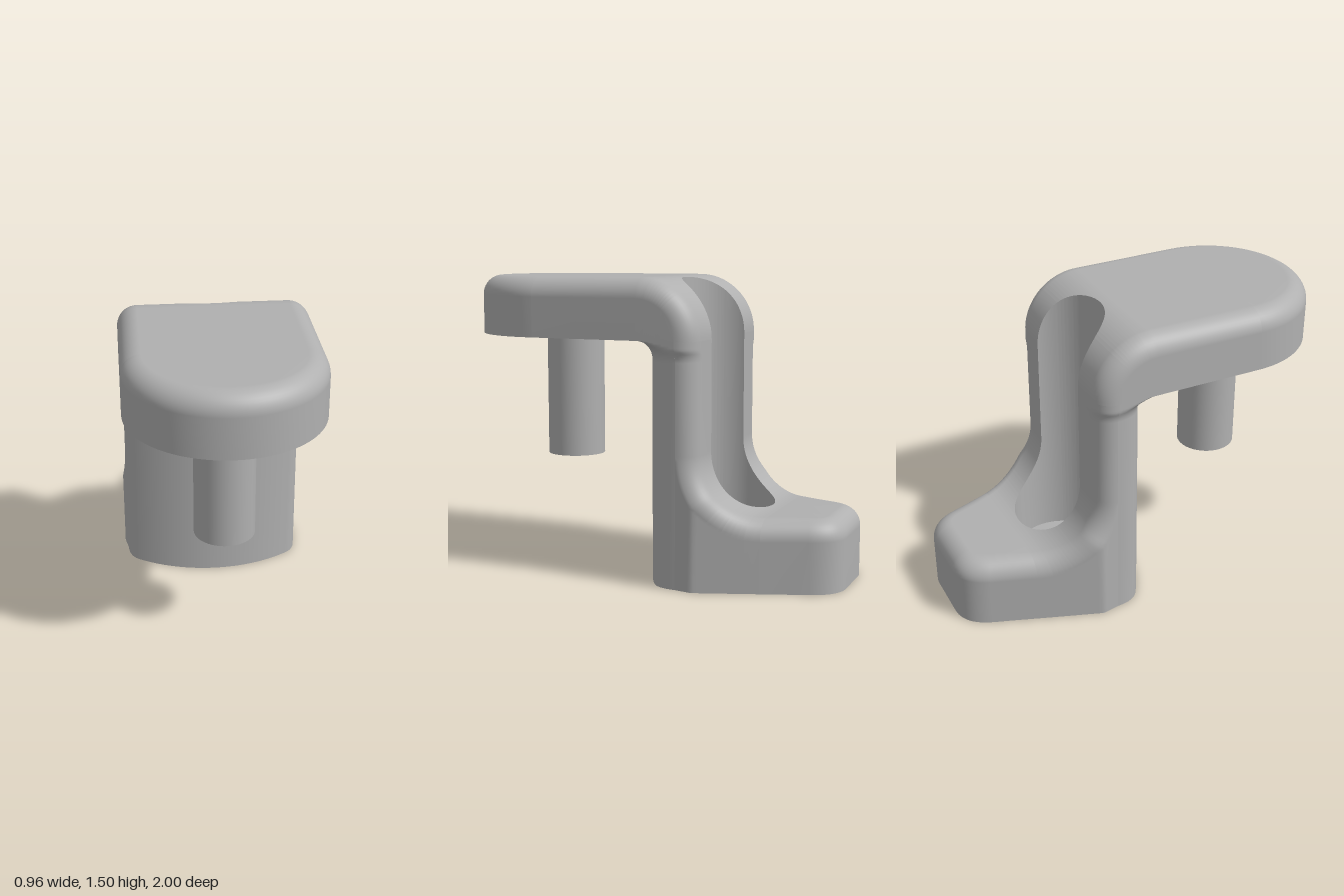
import * as THREE from 'three';
import { toCreasedNormals } from 'three/addons/utils/BufferGeometryUtils.js';

const R = 0.1;            // rounding of the outer edges
const BEND = 0.3;         // bends of the side profile
const TOP = 1.505, SLAB = 1.205, FOOT = 0.355;
const BACK = -0.34;       // back face of the column
const HOLE_Z = -0.345, BORE = 0.24, FLOOR = 0.1;
const PIN_Z = 0.52, HALF = 0.48;
const range = (n, f) => Array.from({ length: n + 1 }, (_, i) => f(i / n));

// Smooth surface through rows of points
function grid(rows, flip) {
  const n = rows[0].length, index = [];
  for (let i = 0; i < rows.length - 1; i++) {
    for (let j = 0; j < n - 1; j++) {
      const a = i * n + j, b = a + 1, c = a + n, d = c + 1;
      if (flip) index.push(a, c, b, b, c, d);
      else index.push(a, b, c, b, d, c);
    }
  }
  const g = new THREE.BufferGeometry();
  g.setAttribute('position', new THREE.Float32BufferAttribute(rows.flat(2), 3));
  g.setIndex(index);
  g.computeVertexNormals();
  return g;
}

// Plan outline [x, z] with outward normals; both ends point along x
function withNormals(pts, sign) {
  return pts.map(([x, z], i) => {
    if (i === 0) return [x, z, 1, 0];
    if (i === pts.length - 1) return [x, z, -1, 0];
    const dx = pts[i + 1][0] - pts[i - 1][0], dz = pts[i + 1][1] - pts[i - 1][1];
    const l = Math.hypot(dx, dz) * sign;
    return [x, z, dz / l, -dx / l];
  });
}
const mirror = half => [...half, ...half.slice(0, -1).reverse().map(([x, z]) => [-x, z])];
const bezier = (n, ...p) => new THREE.QuadraticBezierCurve(...p.map(q => new THREE.Vector2(...q)))
  .getPoints(n).map(v => [v.x, v.y]);

// Half width of the base in plan, behind the column front
const planWidth = z => Math.min(0.465 + 0.19 * (-0.24 - z), 0.48 - 0.352 * (-0.335 - z));
// Fillet under the slab
const flare = y => {
  const d = Math.min(Math.max(y - (SLAB - R), 0), R);
  return R - Math.sqrt(R * R - d * d);
};

// Rounded end of a plate: flat top, rounded edge, straight wall
function roundedEnd(outline, zJoin, top, bottom, flip) {
  const rows = [outline.map(() => [0, top, zJoin])];
  range(10, t => {
    const a = t * Math.PI / 2, off = R * (1 - Math.sin(a)), y = top - R * (1 - Math.cos(a));
    rows.push(outline.map(([x, z, nx, nz]) => [x - nx * off, y, z - nz * off]));
  });
  rows.push(outline.map(([x, z]) => [x, bottom, z]));
  return grid(rows, flip);
}

// Side profile from slab to foot: point, inward normal, wall bottom
function sideProfile() {
  const rows = [{ z: PIN_Z, y: TOP, nz: 0, ny: -1, bottom: SLAB }];
  const angles = zStart => [
    ...range(24, t => t * Math.PI / 2),
    ...range(16, t => Math.asin((zStart + BORE * (1 - Math.cos(t * 1.1))) / BEND)),
  ].sort((a, b) => a - b);
  for (const a of angles(-0.04 - (HOLE_Z + BORE))) {
    const s = Math.sin(a), c = Math.cos(a);
    rows.push({ z: BACK + BEND - BEND * s, y: SLAB - (BEND - (TOP - SLAB)) + BEND * c, nz: s, ny: -c, bottom: SLAB });
  }
  range(10, t => rows.push({ z: BACK, y: SLAB - R * t, nz: 1, ny: 0 }));
  const zc = BACK - BEND, yc = FOOT + BEND;
  for (const a of angles(HOLE_Z - BORE - zc).reverse()) {
    const s = Math.sin(a), c = Math.cos(a);
    rows.push({ z: zc + BEND * s, y: yc - BEND * c, nz: s, ny: -c, bottom: 0 });
  }
  return rows;
}

const boreHalfWidth = z => Math.sqrt(Math.max(BORE * BORE - (z - HOLE_Z) ** 2, 0));

// Back skin on one side: from the channel edge, over the rounding, down the wall
function backSkin(profile, side) {
  const rows = profile.map(p => {
    const row = [[side * boreHalfWidth(p.z), p.y, p.z]];
    let last;
    range(10, t => {
      const a = t * Math.PI / 2, d = R * (1 - Math.cos(a));
      const z = p.z + p.nz * d, y = p.y + p.ny * d;
      const zEnd = p.z + p.nz * R, yEnd = p.y + p.ny * R;
      const w = yEnd > SLAB - 1e-6 ? HALF : Math.min(HALF + 0.002, planWidth(zEnd) + flare(yEnd));
      last = [side * (Math.min(w, yEnd > 1 ? HALF : 1) - R * (1 - Math.sin(a))), y, z];
      row.push(last);
    });
    row.push([last[0], p.bottom ?? last[1], last[2]]);
    return row;
  });
  return grid(rows, side < 0);
}

// Wall of the screw channel on one side
function channelWall(profile, side) {
  const rows = profile.filter(p => Math.abs(p.z - HOLE_Z) < BORE + 1e-6)
    .map(p => [p.y, FLOOR].map(y => [side * boreHalfWidth(p.z), y, p.z]));
  return grid(rows, side > 0);
}

// Flat plate facing down, with a round hole
function underside(pts, y, holeZ, holeR) {
  const shape = new THREE.Shape(pts.map(([x, z]) => new THREE.Vector2(x, z)));
  shape.holes.push(new THREE.Path().absarc(0, holeZ, holeR, 0, Math.PI * 2, true));
  return new THREE.ShapeGeometry(shape, 48).rotateX(Math.PI / 2).translate(0, y, 0);
}

const lathe = (pts, z) => toCreasedNormals(
  new THREE.LatheGeometry(pts.map(p => new THREE.Vector2(...p)), 48), 0.5).translate(0, 0, z);

export function createModel() {
  const group = new THREE.Group();
  const grey = new THREE.MeshStandardMaterial({ color: 0xb0b0b0, side: THREE.DoubleSide });
  grey.name = 'plain grey';
  const add = (name, geometry) => {
    const mesh = new THREE.Mesh(geometry, grey);
    mesh.name = name;
    group.add(mesh);
    return mesh;
  };

  // Plan outlines
  const slabEnd = range(48, t => [HALF * Math.cos(t * Math.PI), PIN_Z + HALF * Math.sin(t * Math.PI)]);
  const columnFront = mirror([
    ...bezier(10, [0.465, -0.24], [0.462, -0.146], [0.41, -0.112]),
    ...range(12, t => 0.41 * (1 - t)).slice(1).map(x => [x, Math.sqrt(0.5625 - x * x) - 0.74]),
  ]);
  const zJoin = BACK - BEND;
  const footEnd = mirror([
    [planWidth(zJoin), zJoin], [0.333, -0.75],
    ...bezier(12, [0.295, -0.86], [0.246, -1], [0.12, -1]), [0, -1],
  ]);

  // Slab and foot ends
  add('slabFront', roundedEnd(withNormals(slabEnd, 1), PIN_Z, TOP, SLAB, false));
  add('footRear', roundedEnd(withNormals(footEnd, -1), zJoin, FOOT, 0, true));

  // Column front, flaring into the slab
  const front = withNormals(columnFront, 1);
  const heights = [0, SLAB - R, ...range(10, t => SLAB - R + R * Math.sin(t * Math.PI / 2)).slice(1)];
  add('columnFront', grid(heights.map(y => front.map(([x, z, nx, nz]) => [
    THREE.MathUtils.clamp(x + nx * flare(y), -HALF, HALF), y, z + nz * flare(y),
  ])), true));

  // Back skin and channel, mirrored
  const profile = sideProfile();
  for (const side of [1, -1]) {
    const label = side > 0 ? 'left' : 'right';
    add(label + 'BackSkin', backSkin(profile, side));
    add(label + 'ChannelWall', channelWall(profile, side));
  }

  // Screw seat and through hole
  add('screwHole', lathe([[BORE, FLOOR], [0.13, FLOOR], [0.115, 0.085], [0.115, 0]], HOLE_Z));

  // Undersides
  const peak = [0.482, -0.329];
  add('footUnderside', underside(
    [...columnFront, [-peak[0], peak[1]], ...footEnd.slice().reverse(), peak], 0, HOLE_Z, 0.115));
  add('slabUnderside', underside([...slabEnd, [-HALF, -0.1], [HALF, -0.1]], SLAB, PIN_Z, 0.335));

  // Round recess with the pin
  add('pinRecess', lathe([[0.335, SLAB], [0.335, 1.285], [0, 1.285]], PIN_Z));
  add('pin', new THREE.CylinderGeometry(0.15, 0.15, 0.725, 48)).position.set(0, 0.9225, PIN_Z);
  return group;
}
